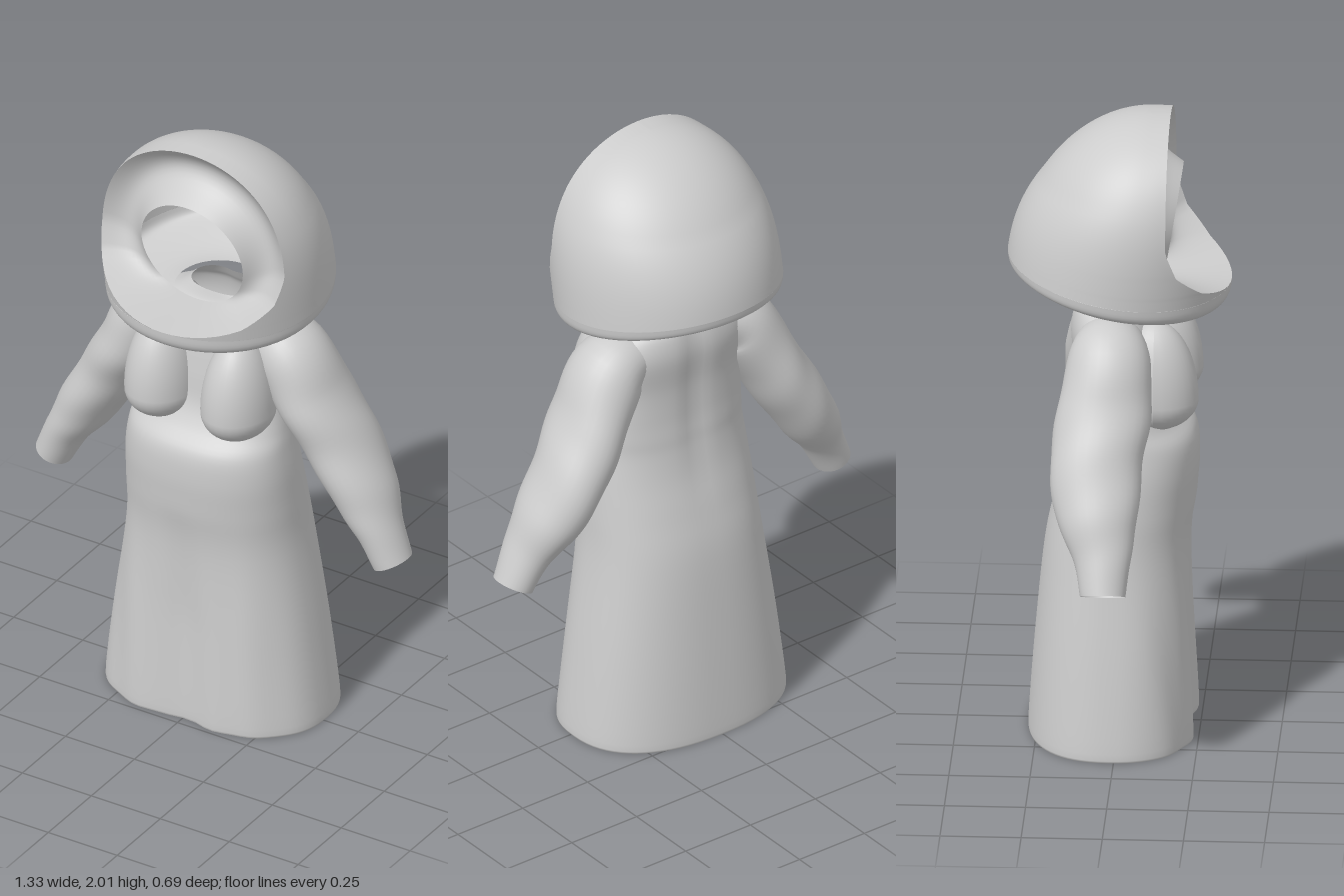
import * as THREE from 'three';

const cloth = new THREE.MeshStandardMaterial({ color: 0xcccccc, side: THREE.DoubleSide });
cloth.name = 'plain grey';

// Smooth surface through rows of points; closed rows wrap around
function loft(rows, closed) {
  const n = rows[0].length, index = [];
  for (let i = 0; i < rows.length - 1; i++) {
    for (let j = 0; j < (closed ? n : n - 1); j++) {
      const k = (j + 1) % n;
      const a = i * n + j, b = i * n + k, c = a + n, d = b + n;
      index.push(a, b, d, a, d, c);
    }
  }
  const g = new THREE.BufferGeometry();
  g.setAttribute('position', new THREE.Float32BufferAttribute(rows.flat(2), 3));
  g.setIndex(index);
  g.computeVertexNormals();
  return g;
}

function part(name, geometry) {
  const m = new THREE.Mesh(geometry, cloth);
  m.name = name;
  return m;
}

// Smooth interpolation of a table of cross-sections, sorted by row
function spline(table, steps) {
  const out = [], last = table.length - 1;
  for (let s = 0; s <= last * steps; s++) {
    const i = Math.min(Math.floor(s / steps), last - 1), t = s / steps - i;
    const at = k => table[Math.max(0, Math.min(last, k))];
    out.push(table[0].map((_, c) => {
      const p0 = at(i - 1)[c], p1 = at(i)[c], p2 = at(i + 1)[c], p3 = at(i + 2)[c];
      return p1 + 0.5 * t * (p2 - p0 + t * (2 * p0 - 5 * p1 + 4 * p2 - p3 + t * (3 * (p1 - p2) + p3 - p0)));
    }));
  }
  return out;
}

// Gown: y, half width, front z, back z
function gown() {
  const table = [
    [0, 0.368, 0.245, -0.275], [0.02, 0.375, 0.25, -0.28], [0.3, 0.34, 0.238, -0.26],
    [0.6, 0.297, 0.226, -0.23], [0.76, 0.287, 0.238, -0.195], [0.88, 0.28, 0.246, -0.165],
    [0.97, 0.268, 0.235, -0.15], [1.03, 0.258, 0.185, -0.145], [1.1, 0.25, 0.15, -0.14],
    [1.2, 0.245, 0.135, -0.14], [1.31, 0.255, 0.115, -0.15], [1.38, 0.215, 0.088, -0.14],
    [1.415, 0.155, 0.06, -0.12], [1.45, 0.11, 0.045, -0.1]];
  const rows = spline(table, 5).map(([y, w, f, b]) => {
    const row = [], zc = (f + b) / 2, d = (f - b) / 2;
    const skirt = THREE.MathUtils.clamp((0.75 - y) / 0.4, 0, 1);
    const spine = THREE.MathUtils.clamp((y - 0.75) / 0.3, 0, 1);
    for (let j = 0; j < 72; j++) {
      const a = j / 72 * Math.PI * 2, c = Math.cos(a), s = Math.sin(a);
      const x = w * Math.sign(c) * Math.abs(c) ** 0.85;
      let z = zc + d * Math.sign(s) * Math.abs(s) ** 0.85;
      // shallow fold down the front of the skirt, groove down the back
      if (s > 0) z -= skirt * 0.03 * Math.exp(-((x / 0.1) ** 2)) + skirt * 0.003 * Math.sin(x * 45 + y * 3);
      else z += spine * 0.012 * Math.exp(-((x / 0.04) ** 2));
      row.push([x, y, z]);
    }
    return row;
  });
  return loft(rows, true);
}

// Sleeve: centre x, y, z, then radius across and radius in z
function sleeve(side) {
  const path = spline([
    [0.14, 1.325, -0.02, 0.07, 0.09], [0.24, 1.285, -0.02, 0.112, 0.125], [0.325, 1.145, -0.03, 0.105, 0.145],
    [0.41, 1.0, -0.05, 0.1, 0.143], [0.5, 0.85, -0.045, 0.09, 0.125],
    [0.565, 0.74, -0.025, 0.068, 0.088], [0.613, 0.64, -0.02, 0.06, 0.07]], 7);
  const rows = path.map(([x, y, z, r, rz], i) => {
    const p = path[Math.max(i - 1, 0)], q = path[Math.min(i + 1, path.length - 1)];
    const l = Math.hypot(q[0] - p[0], q[1] - p[1]);
    const nx = -(q[1] - p[1]) / l, ny = (q[0] - p[0]) / l;
    const row = [];
    for (let j = 0; j < 32; j++) {
      const a = j / 32 * Math.PI * 2;
      const k = 1 + 0.02 * Math.sin(i * 0.7 + 2 * a) * Math.sin(i / (path.length - 1) * Math.PI);
      const u = Math.cos(a) * r * k;
      row.push([side * (x + nx * u), y + ny * u, z + Math.sin(a) * rz * k]);
    }
    return row;
  });
  return loft(rows, true);
}

// Bust: ellipsoid drawn out upward into a slope
function bust() {
  const g = new THREE.SphereGeometry(1, 32, 24);
  const p = g.attributes.position;
  for (let i = 0; i < p.count; i++) {
    const y = p.getY(i);
    p.setXYZ(i, p.getX(i) * 0.112, y * (y > 0 ? 0.25 : 0.1), p.getZ(i) * 0.135);
  }
  g.computeVertexNormals();
  return g;
}

// Helmet: horizontal arcs that stop at the front rim, then full rings under it
const rimTable = [[1.46, 0.345], [1.5, 0.265], [1.57, 0.19], [1.66, 0.157], [2.0, 0.157]];
function rimZ(y) {
  let i = 0;
  while (i < rimTable.length - 2 && y > rimTable[i + 1][0]) i++;
  const [y0, z0] = rimTable[i], [y1, z1] = rimTable[i + 1];
  return z0 + (z1 - z0) * (y - y0) / (y1 - y0);
}

// The lower edge sweeps up toward the back
function sweep(z) {
  return Math.max(0, (0.345 - z) / 0.69) ** 1.6;
}

function helmetArc(level) {
  const q = Math.min(1, (level - 1.46) / 0.54);
  const wide = 0.36 * Math.sqrt(1 - q ** 3.2);
  const zc = 0.1 * q, front = 0.345, back = (0.345 + 0.5 * zc) * Math.sqrt(1 - q ** 2.25);
  const a0 = Math.acos(Math.min(1, (rimZ(level) - zc) / front));
  const tilt = 0.09 * Math.max(0, 1 - q * 1.6);
  const row = [];
  for (let j = 0; j <= 64; j++) {
    const a = a0 + (2 * Math.PI - 2 * a0) * j / 64, c = Math.cos(a);
    const z = zc + c * (c > 0 ? front : back);
    row.push([wide * Math.sin(a), level + tilt * sweep(z), z]);
  }
  return row;
}

function helmetRows() {
  const rows = [];
  for (let i = 0; i <= 40; i++) rows.push(helmetArc(1.46 + 0.27 * (1 + Math.cos(i / 40 * Math.PI))));
  return rows;
}

function underside() {
  // level, scale, tilt
  const table = [[1.46, 1, 0.09], [1.425, 0.985, 0.1], [1.402, 0.92, 0.115],
    [1.4, 0.75, 0.105], [1.412, 0.55, 0.07], [1.44, 0.4, 0.02]];
  return loft(spline(table, 4).map(([y, k, tilt]) => {
    const row = [];
    for (let j = 0; j < 64; j++) {
      const a = j / 64 * Math.PI * 2, z = 0.345 * k * Math.cos(a);
      row.push([0.36 * k * Math.sin(a), y + tilt * sweep(z), z]);
    }
    return row;
  }), true);
}

// Face ring: grooved surface from the rim to the round opening
function faceRing(rows) {
  const rim = [...rows.map(r => r[0]), ...rows.map(r => r[r.length - 1]).reverse().slice(1, -1)];
  const out = [];
  for (let i = 0; i <= 12; i++) {
    const s = i / 12;
    out.push(rim.map(([x, y, z]) => {
      const t = Math.atan2((y - 1.73) / 0.265, x / 0.335);
      const up = (Math.sin(t) + 1) / 2;
      const hx = 0.183 * Math.cos(t), hy = 1.65 + 0.18 * Math.sin(t), hz = 0.135 + 0.06 * up;
      const dip = (0.01 + 0.06 * up) * Math.sin(Math.PI * s);
      return [x + (hx - x) * s, y + (hy - y) * s, z + (hz - z) * s - dip];
    }));
  }
  return loft(out, true);
}

export function createModel() {
  const model = new THREE.Group();
  model.name = 'gownAndHelmet';

  model.add(part('gown', gown()));
  for (const side of [1, -1]) {
    const label = side > 0 ? 'left' : 'right';
    model.add(part(label + 'Sleeve', sleeve(side)));
    const b = part(label + 'Bust', bust());
    b.position.set(side * 0.138, 1.115, 0.115);
    model.add(b);
  }

  const helmet = new THREE.Group();
  helmet.name = 'helmet';
  const rows = helmetRows();
  helmet.add(part('helmetShell', loft(rows, false)));
  helmet.add(part('helmetUnderside', underside()));
  helmet.add(part('faceRing', faceRing(rows)));
  model.add(helmet);
  return model;
}
